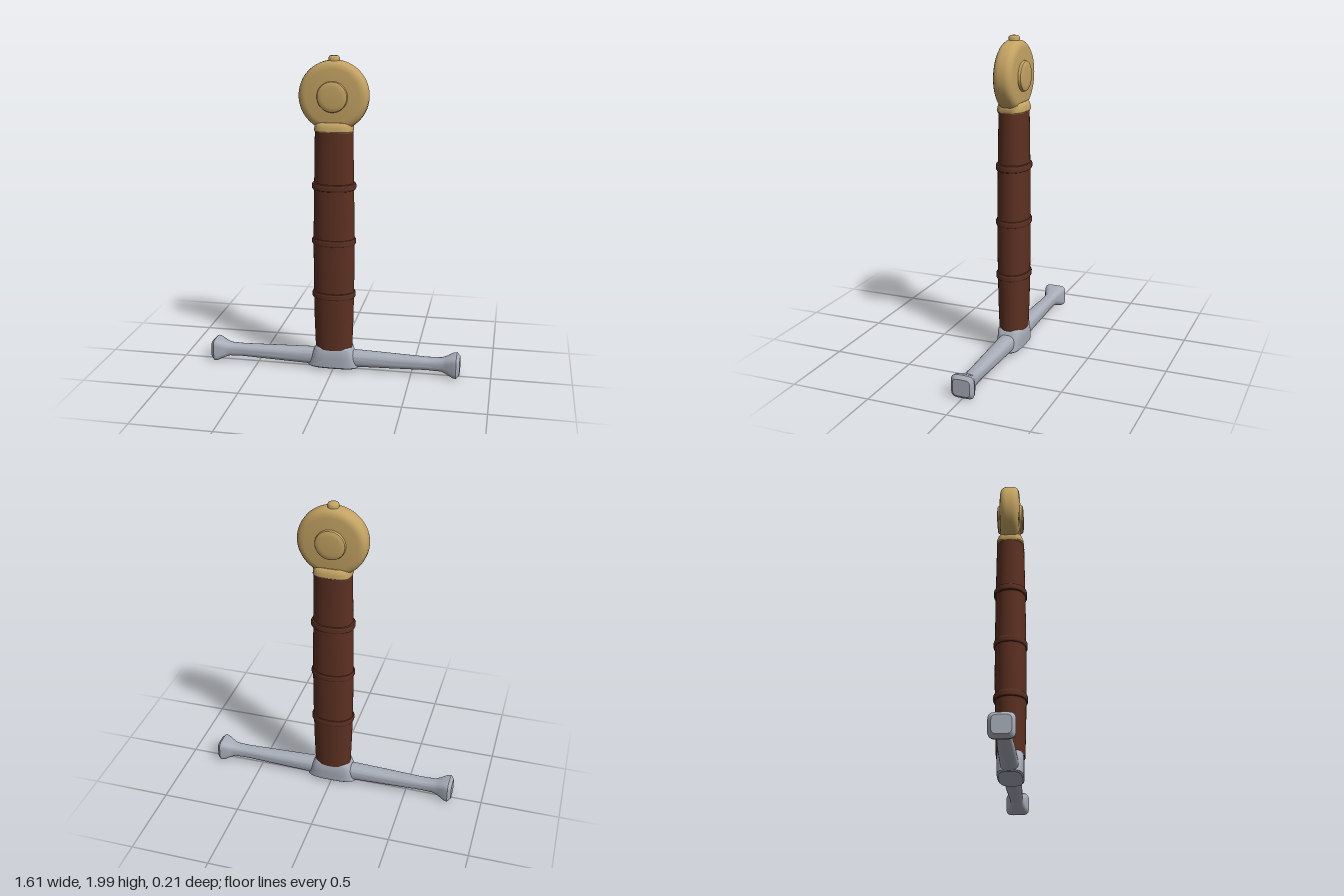
import * as THREE from 'three';
import { toCreasedNormals } from 'three/addons/utils/BufferGeometryUtils.js';

const material = (name, color) => {
  const m = new THREE.MeshStandardMaterial({ color });
  m.name = name;
  return m;
};

// Capped loft along y; each station is [y, halfX, halfZ, exponent].
// Exponent 2 gives an ellipse, higher values a rounded rectangle.
function loft(stations, sides = 48, crease = 0.6) {
  const pos = [], index = [];
  const bend = (v, n) => Math.sign(v) * Math.abs(v) ** (2 / n);
  for (const [y, a, b, n] of stations) {
    for (let i = 0; i < sides; i++) {
      const t = (i / sides) * Math.PI * 2;
      pos.push(a * bend(Math.cos(t), n), y, b * bend(Math.sin(t), n));
    }
  }
  const last = stations.length - 1, low = pos.length / 3, high = low + 1;
  pos.push(0, stations[0][0], 0, 0, stations[last][0], 0);
  for (let i = 0; i < sides; i++) {
    const k = (i + 1) % sides;
    for (let j = 0; j < last; j++) {
      const p = j * sides, q = p + sides;
      index.push(p + i, q + i, p + k, q + i, q + k, p + k);
    }
    index.push(low, i, k, high, last * sides + k, last * sides + i);
  }
  const g = new THREE.BufferGeometry();
  g.setAttribute('position', new THREE.Float32BufferAttribute(pos, 3));
  g.setIndex(index);
  return toCreasedNormals(g, crease);
}

// Turned part around y from [radius, y] pairs, bottom to top
const turned = (points, segments = 64) =>
  toCreasedNormals(new THREE.LatheGeometry(points.map(p => new THREE.Vector2(...p)), segments), 0.6);

export function createModel() {
  const model = new THREE.Group();
  model.name = 'swordHilt';
  const steel = material('steel', 0xa8adb9);
  const leather = material('leather', 0x5c3021);
  const brass = material('brass', 0xc4a363);

  const add = (name, geometry, mat, y = 0) => {
    const mesh = new THREE.Mesh(geometry, mat);
    mesh.name = name;
    mesh.position.y = y;
    model.add(mesh);
    return mesh;
  };

  // Crossguard bar, flaring into squared ends
  const half = [
    [0, 0.053, 0.055, 2.6], [0.16, 0.052, 0.053, 2.6], [0.4, 0.045, 0.048, 2.6],
    [0.6, 0.039, 0.041, 2.7], [0.69, 0.041, 0.042, 3], [0.72, 0.051, 0.052, 3.5],
    [0.765, 0.07, 0.07, 4.5], [0.785, 0.072, 0.074, 4.5], [0.806, 0.052, 0.054, 4.5],
  ];
  const mirrored = half.slice(1).reverse().map(([x, ...rest]) => [-x, ...rest]);
  add('crossguard', loft([...mirrored, ...half]).rotateZ(-Math.PI / 2), steel, 0.078);

  // Tapered block joining the guard to the grip
  add('guardBlock', loft([
    [0.022, 0.155, 0.07, 3.2], [0.03, 0.166, 0.078, 3.2], [0.09, 0.143, 0.08, 3.6],
    [0.15, 0.119, 0.078, 4.5], [0.163, 0.108, 0.07, 4.5],
  ]), steel);

  // Leather grip with a slight swell
  add('grip', loft([
    [0.15, 0.117, 0.086, 2.2], [0.35, 0.124, 0.092, 2.2], [0.65, 0.128, 0.096, 2.2],
    [0.9, 0.128, 0.096, 2.2], [1.2, 0.123, 0.093, 2.2], [1.55, 0.117, 0.087, 2.2],
  ]), leather);

  // Raised bands around the grip
  for (const y of [0.51, 0.857, 1.207]) {
    add('gripBand', loft([
      [-0.023, 0.122, 0.09, 2.2], [-0.019, 0.132, 0.1, 2.2], [-0.01, 0.137, 0.104, 2.2],
      [0.01, 0.137, 0.104, 2.2], [0.019, 0.132, 0.1, 2.2], [0.023, 0.122, 0.09, 2.2],
    ]), leather, y);
  }

  // Collar between grip and pommel
  add('collar', loft([
    [1.545, 0.114, 0.083, 3.2], [1.552, 0.118, 0.087, 3.2], [1.575, 0.117, 0.085, 3.2],
    [1.595, 0.112, 0.078, 3.2], [1.605, 0.1, 0.066, 3.2],
  ]), brass);

  // Disc pommel with rounded rim
  const rim = [[0, 0.061], [0.165, 0.061], [0.185, 0.058], [0.2, 0.049], [0.21, 0.035], [0.213, 0.02]];
  const disc = [...rim.map(([r, z]) => [r, -z]), ...[...rim].reverse()];
  add('pommelDisc', turned(disc, 96).rotateX(Math.PI / 2), brass, 1.76);

  // Round bosses on both faces
  for (const side of [1, -1]) {
    const boss = turned([[0.093, 0.05], [0.093, 0.07], [0.09, 0.077], [0.082, 0.082], [0.06, 0.084], [0, 0.085]]);
    add(side > 0 ? 'frontBoss' : 'backBoss', boss.rotateX(side * Math.PI / 2), brass, 1.76);
  }

  // Peened button on top
  add('topButton', turned([[0.034, 1.955], [0.034, 1.986], [0.03, 1.994], [0.022, 1.999], [0, 2]], 32), brass);

  return model;
}
